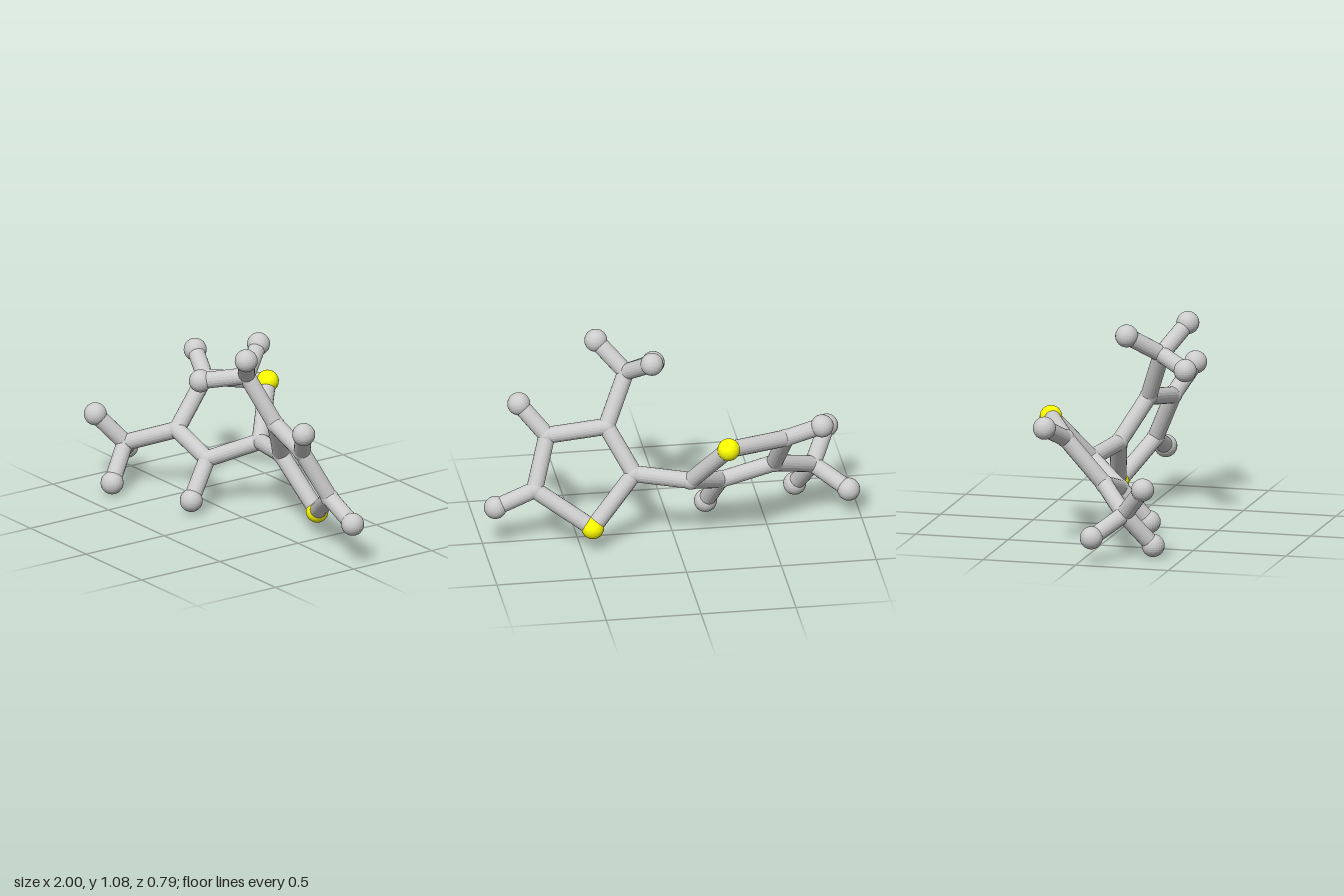
import * as THREE from 'three';

const BOND_RADIUS = 0.044;
const RADII = { carbon: 0.048, hydrogen: 0.06, sulfur: 0.059 };

// Atom centres, grouped by element
const ATOMS = {
  sulfur: {
    sA: [-0.247, 0.617, -0.337],
    sB: [0.443, 0.13, -0.163],
  },
  carbon: {
    a2: [-0.073, 0.368, -0.165], a3: [-0.261, 0.26, 0.04], a4: [-0.543, 0.34, 0.032], a5: [-0.575, 0.58, -0.17],
    aMethyl: [-0.773, 0.237, 0.2],
    b2: [0.215, 0.395, -0.095], b3: [0.342, 0.618, 0.03], b4: [0.648, 0.565, 0.08], b5: [0.731, 0.312, -0.038],
    bMethyl: [0.224, 0.876, 0.132],
  },
  hydrogen: {
    hA3: [-0.204, 0.075, 0.182], hA5: [-0.755, 0.668, -0.235],
    hA6: [-0.865, 0.394, 0.325], hA7: [-0.942, 0.14, 0.069], hA8: [-0.698, 0.063, 0.337],
    hB4: [0.783, 0.717, 0.165], hB5: [0.938, 0.225, -0.038],
    hB6: [0.11, 0.988, -0.025], hB7: [0.366, 1.02, 0.236], hB8: [0.053, 0.834, 0.306],
  },
};

const BONDS = [
  // two five-sided rings and the link between them
  'sA a2', 'a2 a3', 'a3 a4', 'a4 a5', 'a5 sA',
  'sB b2', 'b2 b3', 'b3 b4', 'b4 b5', 'b5 sB',
  'a2 b2',
  // ring hydrogens
  'a3 hA3', 'a5 hA5', 'b4 hB4', 'b5 hB5',
  // methyl groups
  'a4 aMethyl', 'aMethyl hA6', 'aMethyl hA7', 'aMethyl hA8',
  'b3 bMethyl', 'bMethyl hB6', 'bMethyl hB7', 'bMethyl hB8',
];

export function createModel() {
  const model = new THREE.Group();
  model.name = 'molecule';
  const grey = new THREE.MeshStandardMaterial({ color: 0xcccccc, flatShading: true });
  const yellow = new THREE.MeshStandardMaterial({ color: 0xffff00, flatShading: true });
  const centres = {};

  // Atoms
  for (const [element, atoms] of Object.entries(ATOMS)) {
    const ball = new THREE.SphereGeometry(RADII[element], 24, 16);
    for (const [key, p] of Object.entries(atoms)) {
      centres[key] = new THREE.Vector3(...p);
      const mesh = new THREE.Mesh(ball, element === 'sulfur' ? yellow : grey);
      mesh.name = `${element}Atom`;
      mesh.position.copy(centres[key]);
      model.add(mesh);
    }
  }

  // Bonds: cylinders from centre to centre
  const up = new THREE.Vector3(0, 1, 0);
  for (const pair of BONDS) {
    const [a, b] = pair.split(' ').map((key) => centres[key]);
    const along = b.clone().sub(a);
    const rod = new THREE.CylinderGeometry(BOND_RADIUS, BOND_RADIUS, along.length(), 20);
    const mesh = new THREE.Mesh(rod, grey);
    mesh.name = 'bond';
    mesh.position.copy(a).add(b).multiplyScalar(0.5);
    mesh.quaternion.setFromUnitVectors(up, along.normalize());
    model.add(mesh);
  }
  return model;
}
